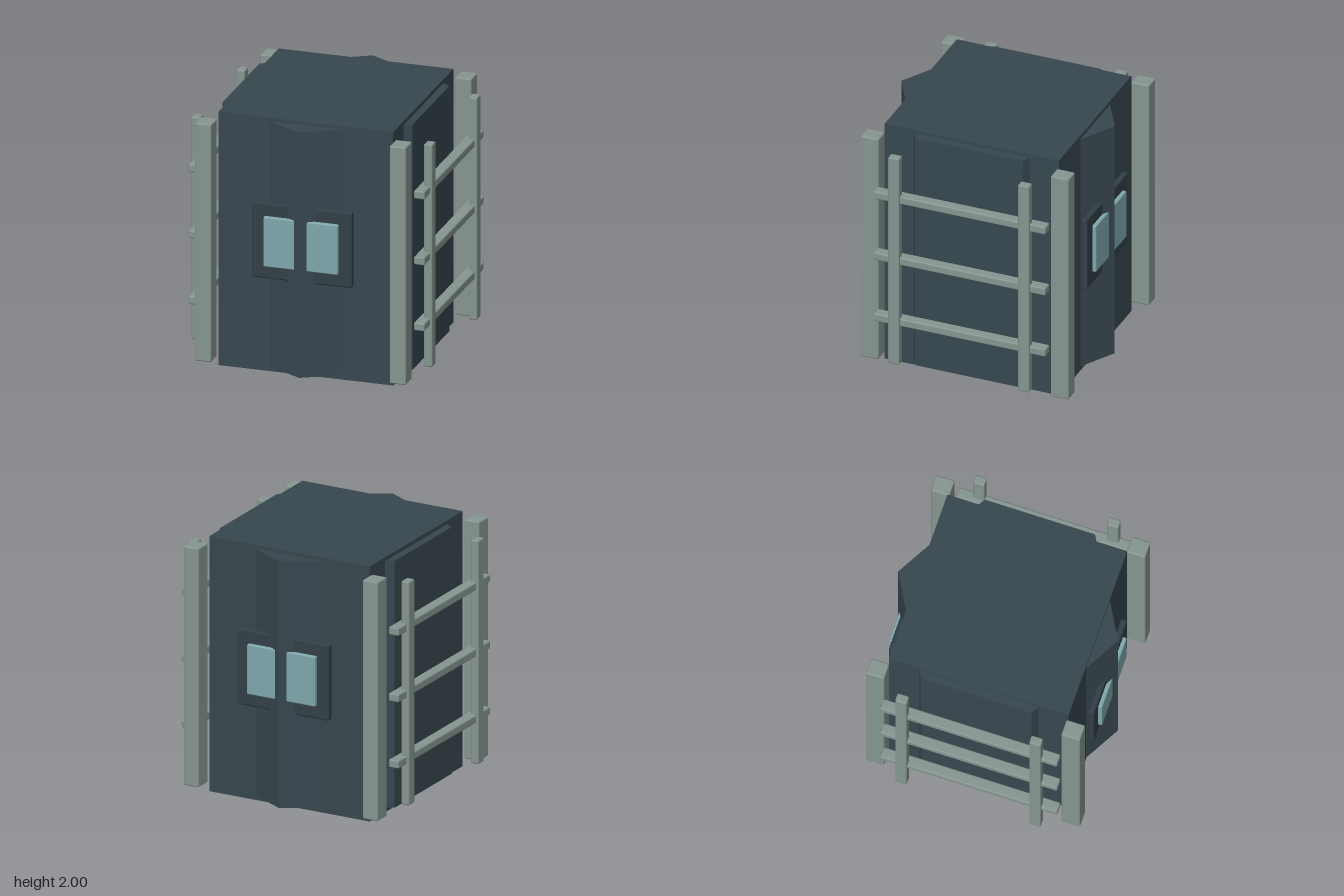
import * as THREE from 'three';
import { RoundedBoxGeometry } from 'three/addons/geometries/RoundedBoxGeometry.js';

const mat = (name, color) => {
  const m = new THREE.MeshStandardMaterial({ color });
  m.name = name;
  return m;
};

export function createModel() {
  const hull = mat('dark slate hull', 0x37474f);
  const frame = mat('window frame slate', 0x323f47);
  const rail = mat('grey green rail', 0x869690);
  const glass = mat('pale teal glass', 0x7fa8ad);

  const model = new THREE.Group();
  model.name = 'cabin';

  const add = (name, geometry, material) => {
    const mesh = new THREE.Mesh(geometry, material);
    mesh.name = name;
    model.add(mesh);
    return mesh;
  };
  // Softly bevelled box between two corners
  const bar = (name, material, [x0, x1], [y0, y1], [z0, z1], radius = 0.012) => {
    const g = new RoundedBoxGeometry(Math.abs(x1 - x0), y1 - y0, Math.abs(z1 - z0), 2, radius);
    add(name, g, material).position.set((x0 + x1) / 2, (y0 + y1) / 2, (z0 + z1) / 2);
  };
  // Upright prism from a plan outline of [x, z] points
  const prism = (name, outline, y0, y1) => {
    const shape = new THREE.Shape(outline.map(([x, z]) => new THREE.Vector2(x, -z)));
    const g = new THREE.ExtrudeGeometry(shape, { depth: y1 - y0, bevelEnabled: false });
    g.rotateX(-Math.PI / 2).translate(0, y0, 0);
    return add(name, g, hull);
  };

  // Main body
  add('body', new THREE.BoxGeometry(1.36, 2, 1.4), hull).position.y = 1;

  // Wedge, window frame and window on front and back
  for (const [side, s] of [['front', 1], ['back', -1]]) {
    prism(side + 'Wedge', [[-0.28, 0.7 * s], [0, 0.857 * s], [0.28, 0.7 * s]], 0.035, 1.97);
    bar(side + 'WindowFrame', frame, [-0.39, 0.39], [0.765, 1.36], [0.752 * s, 0.8 * s], 0.014);
    bar(side + 'Window', glass, [-0.29, 0.29], [0.868, 1.26], [0.785 * s, 0.83 * s], 0.01);
  }

  // Raised side panels, corner posts and ladder-like rails
  for (const [side, s] of [['left', 1], ['right', -1]]) {
    prism(side + 'Panel',
      [[0.68 * s, -0.465], [0.74 * s, -0.43], [0.74 * s, 0.43], [0.68 * s, 0.465]], 0.035, 1.97);
    for (const [end, e] of [['Front', 1], ['Back', -1]]) {
      bar(side + end + 'Post', rail, [0.695 * s, 0.823 * s], [0.065, 1.94], [0.69 * e, 0.835 * e]);
      bar(side + end + 'Upright', rail, [0.872 * s, 0.938 * s], [0.125, 1.88], [0.477 * e, 0.567 * e]);
    }
    for (const y of [0.48, 1, 1.52])
      bar(side + 'Rung', rail, [0.835 * s, 0.92 * s], [y - 0.032, y + 0.032], [-0.69, 0.69]);
  }
  return model;
}
